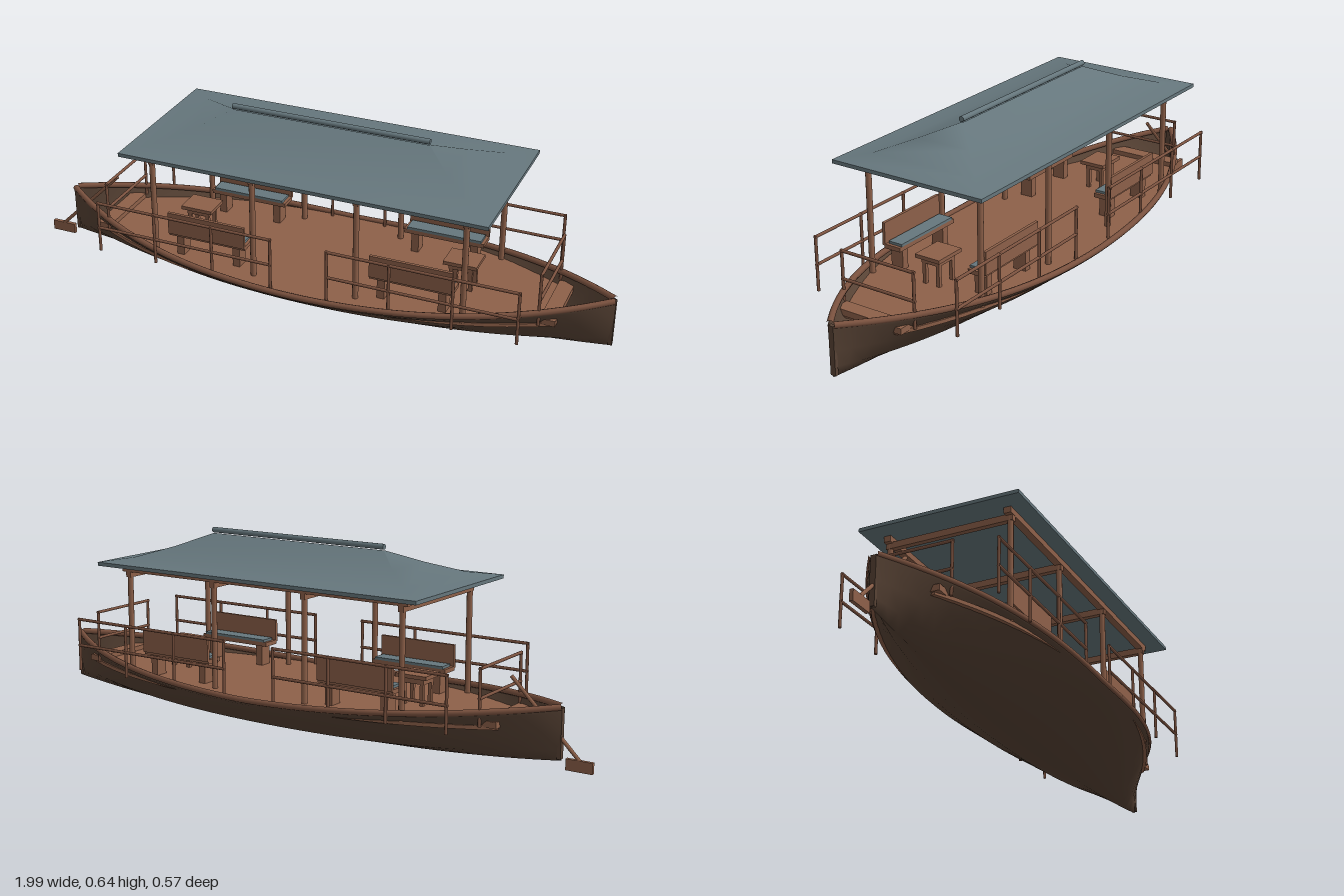
import * as THREE from 'three';

const CX = 0.045; // middle of the hull along x
const HALF = 0.945; // half length of the hull

const mat = (name, color, side = THREE.FrontSide) => {
  const m = new THREE.MeshStandardMaterial({ color, side });
  m.name = name;
  return m;
};

// Hull lines, t runs from -1 (stern) to 1 (bow)
const beam = (t) => 0.01 + 0.27 * (1 - Math.pow(Math.abs(t), 2.6));
const sheer = (t) => 0.15 + 0.06 * Math.pow(Math.abs(t), 1.5);
const keel = (t) => 0.05 * Math.pow(Math.abs(t), 2.5);

// Skin through equal-length rows of [x, y, z] points
function loft(rows, closed) {
  const n = rows[0].length, index = [];
  for (let i = 0; i < rows.length - 1; i++) {
    for (let j = 0; j < (closed ? n : n - 1); j++) {
      const k = (j + 1) % n;
      const a = i * n + j, b = i * n + k, c = b + n, d = a + n;
      index.push(a, b, c, a, c, d);
    }
  }
  const g = new THREE.BufferGeometry();
  g.setAttribute('position', new THREE.Float32BufferAttribute(rows.flat(2), 3));
  g.setIndex(index);
  g.computeVertexNormals();
  return g;
}

export function createModel() {
  const model = new THREE.Group();
  model.name = 'canopyBoat';
  const hullMat = mat('dark hull wood', 0x584335, THREE.DoubleSide);
  const wood = mat('warm wood', 0x8d6049);
  const railMat = mat('rail wood', 0x7b523f);
  const slate = mat('slate roof', 0x66777d);

  const add = (parent, name, geo, material, x = 0, y = 0, z = 0) => {
    const m = new THREE.Mesh(geo, material);
    m.name = name;
    m.position.set(x, y, z);
    parent.add(m);
    return m;
  };
  const box = (parent, name, material, w, h, d, x, y, z) =>
    add(parent, name, new THREE.BoxGeometry(w, h, d), material, x, y, z);
  const rod = (parent, name, material, from, to, r) => {
    const a = new THREE.Vector3(...from), dir = new THREE.Vector3(...to).sub(a);
    const m = add(parent, name, new THREE.CylinderGeometry(r, r, dir.length(), 10), material);
    m.position.copy(a).addScaledVector(dir, 0.5);
    m.quaternion.setFromUnitVectors(new THREE.Vector3(0, 1, 0), dir.normalize());
    return m;
  };
  const group = (name, x = 0) => {
    const g = new THREE.Group();
    g.name = name;
    g.position.x = x;
    model.add(g);
    return g;
  };

  // Hull: chined cross-section swept along the length
  const half = [[1, 1], [0.99, 0.92], [0.7, 0.53], [0.39, 0.2]];
  const section = [...half, [0, 0], ...half.slice().reverse().map(([z, y]) => [-z, y])];
  const rows = [];
  for (let i = 0; i <= 40; i++) {
    const t = i / 20 - 1;
    rows.push(section.map(([z, y]) =>
      [CX + HALF * t, keel(t) + (sheer(t) - keel(t)) * y, beam(t) * z]));
  }
  add(model, 'hull', loft(rows, false), hullMat);

  // Stem and stern posts closing the ends
  for (const s of [-1, 1]) {
    box(model, s > 0 ? 'stemPost' : 'sternPost', hullMat, 0.012, 0.155, 0.018, CX + s * (HALF - 0.006), 0.132, 0);
  }

  // Gunwale caps
  for (const s of [-1, 1]) {
    const pts = [];
    for (let i = 0; i <= 24; i++) {
      const t = i / 12 - 1;
      pts.push(new THREE.Vector3(CX + (HALF - 0.005) * t, sheer(t) + 0.002, s * (beam(t) - 0.003)));
    }
    add(model, 'gunwale', new THREE.TubeGeometry(new THREE.CatmullRomCurve3(pts), 60, 0.01, 8), railMat);
  }

  // Flat deck between the end beams
  const outline = new THREE.Shape();
  const edge = [];
  for (let i = 0; i <= 24; i++) {
    const t = (i / 12 - 1) * 0.83;
    edge.push([CX + HALF * t, beam(t) - 0.012]);
  }
  edge.forEach(([x, z], i) => (i ? outline.lineTo(x, z) : outline.moveTo(x, z)));
  edge.reverse().forEach(([x, z]) => outline.lineTo(x, -z));
  const deck = new THREE.ExtrudeGeometry(outline, { depth: 0.012, bevelEnabled: false });
  deck.rotateX(-Math.PI / 2);
  add(model, 'deck', deck, wood, 0, 0.14, 0);
  for (const s of [-1, 1]) {
    box(model, 'endBeam', wood, 0.05, 0.02, 0.24, CX + s * 0.765, 0.158, 0);
  }

  // Roof: concave hips rising to a ridge, on a thin eave slab
  const roof = group('roof', 0.047);
  const levels = [[0.605, 0.53, 0.27], [0.52, 0.543, 0.185], [0.42, 0.577, 0.095], [0.33, 0.617, 0.002]];
  add(roof, 'roofSlopes', loft(levels.map(([x, y, z]) =>
    [[x, y, z], [x, y, -z], [-x, y, -z], [-x, y, z]]), true), slate);
  box(roof, 'eaveSlab', slate, 1.21, 0.012, 0.54, 0, 0.524, 0);
  rod(roof, 'ridgePole', slate, [-0.332, 0.628, 0], [0.332, 0.628, 0], 0.009);

  // Roof posts and beams
  const frame = group('roofFrame', 0.047);
  for (const x of [-0.522, -0.174, 0.174, 0.522]) {
    for (const s of [-1, 1]) {
      rod(frame, 'roofPost', wood, [x, 0.15, s * 0.204], [x, 0.52, s * 0.204], 0.0095);
    }
    box(frame, 'crossBeam', wood, 0.018, 0.022, 0.43, x, 0.491, 0);
  }
  for (const s of [-1, 1]) {
    box(frame, 'longBeam', wood, 1.09, 0.02, 0.024, 0, 0.508, s * 0.204);
  }

  // Side rails, fore and aft on both sides
  for (const cx of [-0.35, 0.45]) {
    for (const s of [-1, 1]) {
      const rail = group('sideRail', cx), z = s * 0.256;
      for (let i = 0; i < 4; i++) {
        const x = -0.305 + i * 0.61 / 3;
        rod(rail, 'railPost', railMat, [x, 0.15, z], [x, 0.328, z], 0.005);
      }
      for (const y of [0.235, 0.324]) rod(rail, 'railBar', railMat, [-0.309, y, z], [0.309, y, z], 0.005);
    }
  }

  // End rails across the boat
  for (const s of [-1, 1]) {
    const rail = group('endRail', CX + s * 0.74);
    for (const z of [-0.13, 0.13]) rod(rail, 'railPost', railMat, [0, 0.15, z], [0, 0.328, z], 0.005);
    for (const y of [0.235, 0.324]) rod(rail, 'railBar', railMat, [0, y, -0.134], [0, y, 0.134], 0.005);
  }

  // Benches along the sides
  for (const cx of [-0.3, 0.395]) {
    for (const s of [-1, 1]) {
      const bench = group('bench', cx);
      box(bench, 'benchSeat', wood, 0.27, 0.014, 0.06, 0, 0.228, s * 0.157);
      box(bench, 'benchCushion', slate, 0.25, 0.009, 0.05, 0, 0.239, s * 0.152);
      box(bench, 'benchBack', wood, 0.27, 0.075, 0.01, 0, 0.267, s * 0.188);
      for (const x of [-0.1, 0.1]) box(bench, 'benchLeg', wood, 0.025, 0.072, 0.044, x, 0.186, s * 0.157);
    }
  }

  // Small tables on the centre line
  for (const cx of [-0.41, 0.505]) {
    const table = group('table', cx);
    box(table, 'tableTop', wood, 0.11, 0.012, 0.09, 0, 0.244, 0);
    box(table, 'tableApron', wood, 0.08, 0.018, 0.064, 0, 0.229, 0);
    for (const x of [-0.032, 0.032]) {
      for (const z of [-0.025, 0.025]) box(table, 'tableLeg', wood, 0.012, 0.075, 0.012, x, 0.187, z);
    }
  }

  // Steering oar over the stern
  const oar = group('steeringOar');
  rod(oar, 'oarShaft', wood, [-0.73, 0.282, 0], [-0.965, 0.05, 0], 0.006);
  box(oar, 'oarBlade', wood, 0.085, 0.035, 0.012, -0.9575, 0.043, 0);

  return model;
}
